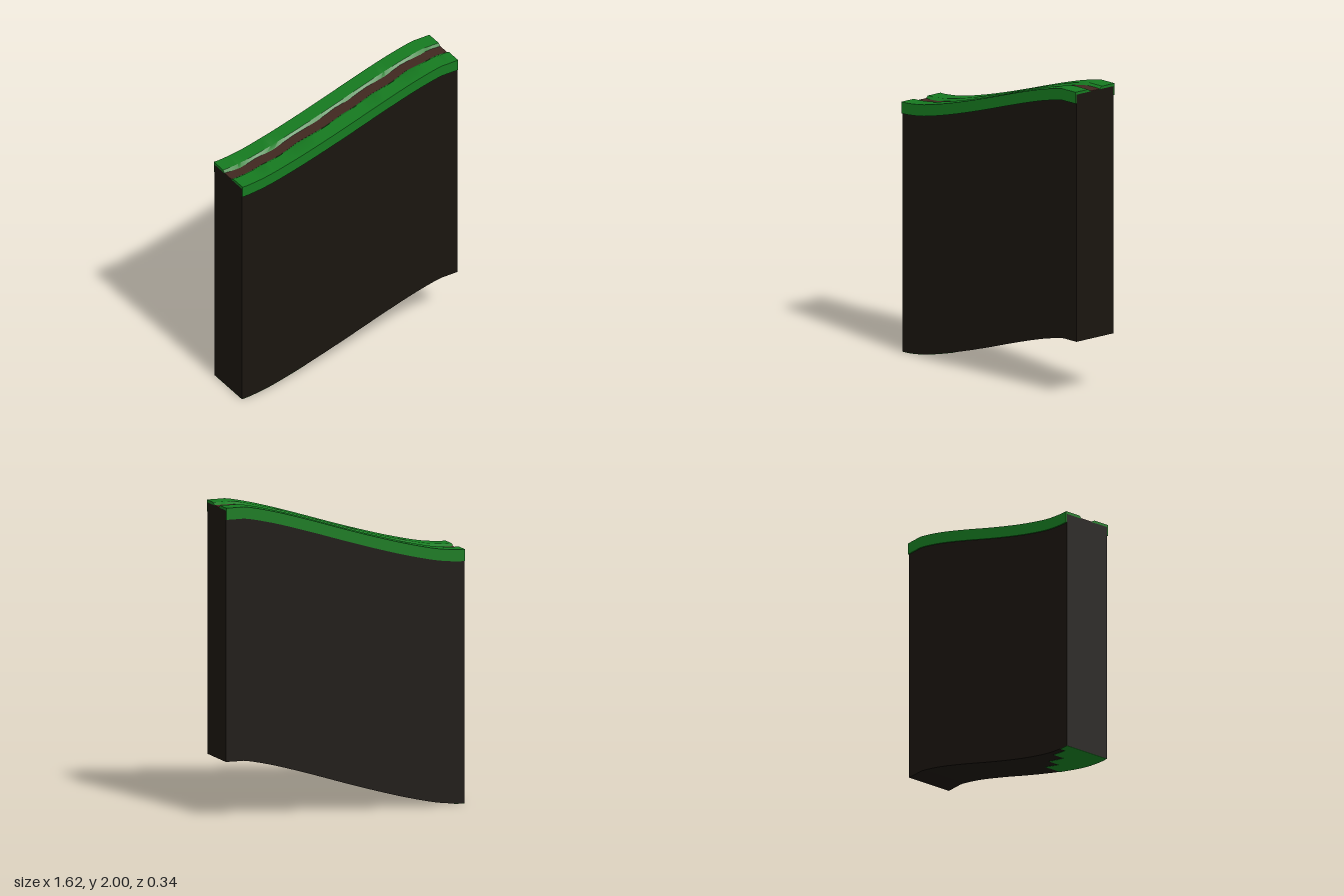
import * as THREE from 'three';
import { toCreasedNormals } from 'three/addons/utils/BufferGeometryUtils.js';

const HALF = 0.81, DEPTH = 0.16, LIP = 0.168;
const BED = 1.613, TOP = 1.63, HEM = 1.555;

// Piecewise linear lookup in a list of [x, value] pairs
function lookup(pairs, x) {
  for (let i = 1; i < pairs.length; i++) {
    const [x0, v0] = pairs[i - 1], [x1, v1] = pairs[i];
    if (x <= x1) return THREE.MathUtils.lerp(v0, v1, (x - x0) / (x1 - x0));
  }
  return pairs[pairs.length - 1][1];
}

// Height of the underside along the slope
const slope = new THREE.SplineCurve([
  [-HALF, 0], [-0.74, 0.002], [-0.6, 0.02], [-0.4, 0.066], [-0.2, 0.121], [0, 0.181],
  [0.2, 0.244], [0.4, 0.304], [0.54, 0.341], [0.67, 0.368], [0.73, 0.37], [HALF, 0.37],
].map(p => new THREE.Vector2(...p))).getPoints(44).map(p => [p.x, p.y]);
const ground = x => lookup(slope, x);

// Wobbling edges of the path
const stations = [-0.81, -0.70, -0.58, -0.45, -0.31, -0.11, 0.02, 0.11, 0.24, 0.39, 0.51, 0.66, 0.74, 0.81];
const frontWidths = [32, 35, 28, 39, 23, 39, 31, 38, 28, 39, 23, 38, 28, 33];
const backWidths = [41, 28, 43, 28, 43, 34, 46, 34, 42, 30, 43, 30, 42, 36];
const frontEdge = stations.map((x, i) => [x, frontWidths[i] / 1000]);
const backEdge = stations.map((x, i) => [x, backWidths[i] / 1000]);
const allX = [...new Set([...slope.map(p => p[0]), ...stations])].sort((a, b) => a - b);

// Sweep a closed [height, z] cross-section along the slope and cap both ends
function sweep(name, color, section, xs = allX) {
  const loops = xs.map(x => section(x).map(([h, z]) => [x, ground(x) + h, z]));
  const pos = [];
  const tri = (a, b, c) => pos.push(...a, ...b, ...c);
  const n = loops[0].length;
  for (let i = 0; i < loops.length - 1; i++) {
    for (let j = 0; j < n; j++) {
      const k = (j + 1) % n;
      tri(loops[i][j], loops[i + 1][j], loops[i + 1][k]);
      tri(loops[i][j], loops[i + 1][k], loops[i][k]);
    }
  }
  const first = loops[0], last = loops[loops.length - 1];
  for (let j = 1; j < n - 1; j++) {
    tri(first[0], first[j], first[j + 1]);
    tri(last[0], last[j + 1], last[j]);
  }
  const geometry = new THREE.BufferGeometry();
  geometry.setAttribute('position', new THREE.Float32BufferAttribute(pos, 3));
  geometry.computeVertexNormals();
  const mesh = new THREE.Mesh(toCreasedNormals(geometry, 0.5), new THREE.MeshStandardMaterial({ color }));
  mesh.name = name;
  return mesh;
}

const slab = (low, high, back, front) => [[low, back], [low, front], [high, front], [high, back]];

export function createModel() {
  const group = new THREE.Group();
  group.name = 'slopedGround';
  const green = 0x167a20;

  // Earth body
  group.add(sweep('earth', 0x1a150f, () => slab(0, BED, -DEPTH, DEPTH)));

  // Sunken path along the middle
  group.add(sweep('path', 0x402820, x =>
    slab(BED, BED + 0.003, -lookup(backEdge, x) - 0.004, lookup(frontEdge, x) + 0.004)));

  // Grass banks with an overhanging lip, front and back
  for (const [name, side, edge] of [['frontGrass', 1, frontEdge], ['backGrass', -1, backEdge]]) {
    group.add(sweep(name, green, x => {
      const loop = [[BED, DEPTH], [HEM, DEPTH], [HEM, LIP], [TOP, LIP], [TOP, 0.06], [BED, lookup(edge, x)]]
        .map(([h, z]) => [h, side * z]);
      return side > 0 ? loop : [loop[0], ...loop.slice(1).reverse()];
    }));
  }

  // Stepped green patch under the low end
  const steps = [[0.16, 0.04, -0.33], [0.04, -0.04, -0.47], [-0.04, -0.12, -0.62], [-0.12, -0.16, -0.74]];
  for (const [front, back, end] of steps) {
    const xs = [...allX.filter(x => x < end), end];
    group.add(sweep('undersidePatch', green, () => slab(-0.002, 0, back, front), xs));
  }

  return group;
}
